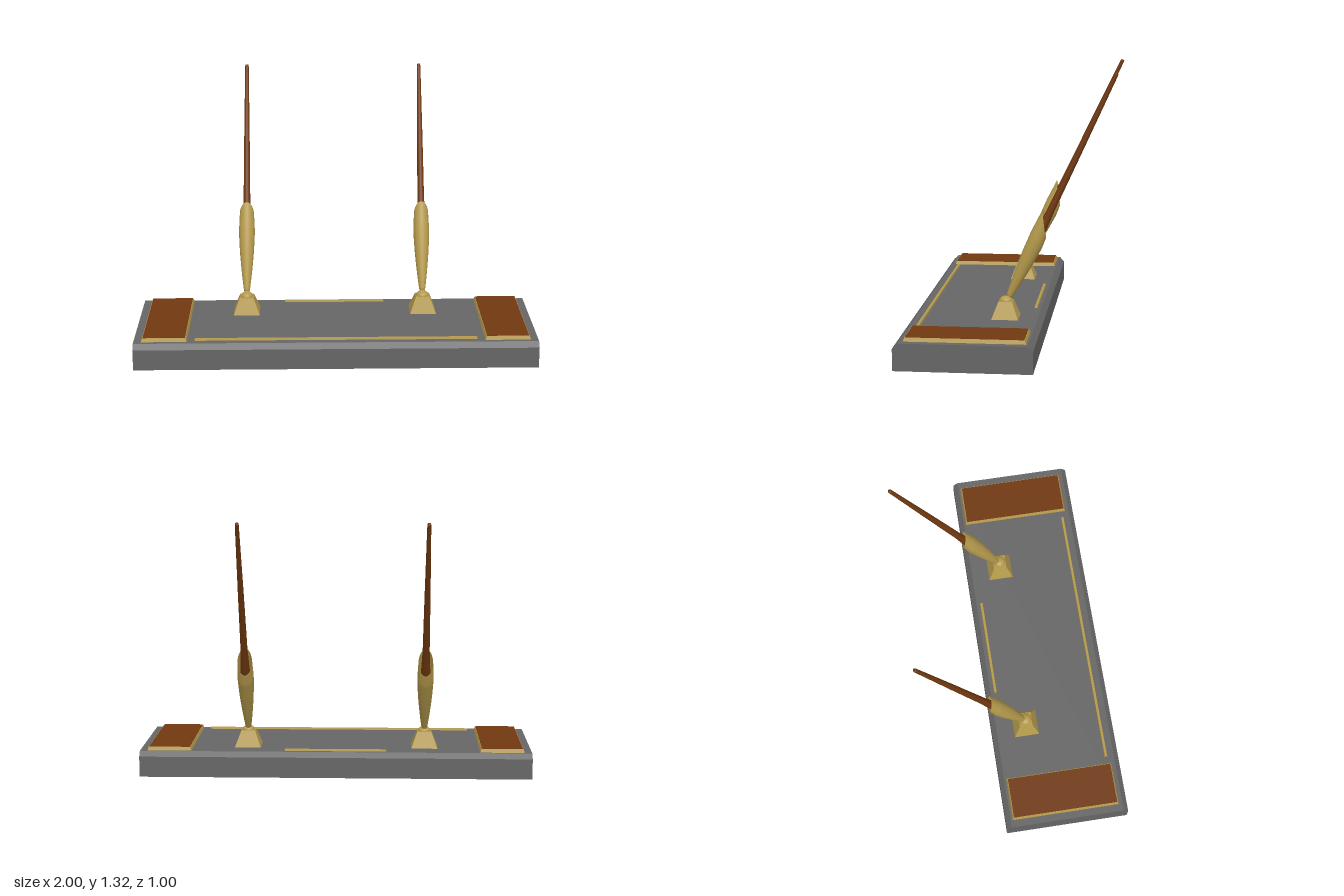
import * as THREE from 'three';

const material = (name, color) => {
  const m = new THREE.MeshStandardMaterial({ color });
  m.name = name;
  return m;
};

export function createModel() {
  const root = new THREE.Group();
  root.name = 'deskPenSet';
  const stone = material('grey stone', 0x666666);
  const brass = material('brass', 0xb59a4c);
  const wood = material('brown wood', 0x703810);

  const add = (parent, name, geometry, mat, x = 0, y = 0, z = 0) => {
    const mesh = new THREE.Mesh(geometry, mat);
    mesh.name = name;
    mesh.position.set(x, y, z);
    parent.add(mesh);
    return mesh;
  };

  // Box standing on y = 0 whose top face is inset on every side
  const frustum = (w, h, d, inset) => {
    const g = new THREE.BoxGeometry(w, h, d).translate(0, h / 2, 0);
    const p = g.attributes.position;
    for (let i = 0; i < p.count; i++) {
      if (p.getY(i) < h / 2) continue;
      p.setX(i, p.getX(i) - Math.sign(p.getX(i)) * inset);
      p.setZ(i, p.getZ(i) - Math.sign(p.getZ(i)) * inset);
    }
    g.computeVertexNormals();
    return g;
  };

  const lathe = (points, segments = 32) =>
    new THREE.LatheGeometry(points.map(([r, y]) => new THREE.Vector2(r, y)), segments);

  // Base slab: side profile (z, y) with chamfered long edges, extruded along x
  const profile = new THREE.Shape([
    [0.5, 0], [0.5, 0.105], [0.475, 0.13], [-0.12, 0.13], [-0.145, 0.105], [-0.145, 0],
  ].map(([z, y]) => new THREE.Vector2(-z, y)));
  const slab = new THREE.ExtrudeGeometry(profile, { depth: 2, bevelEnabled: false });
  slab.translate(0, 0, -1).rotateY(Math.PI / 2);
  add(root, 'base', slab, stone);

  // Inlaid brass lines
  add(root, 'frontStrip', frustum(1.4, 0.009, 0.016, 0.002), brass, 0, 0.13, 0.433);
  add(root, 'rearStrip', frustum(0.52, 0.009, 0.016, 0.002), brass, 0, 0.13, -0.093);

  // Brass funnel, its mouth cut obliquely so the front lip is taller
  const start = 0.24, end = 0.4;
  const funnelShape = () => {
    const outer = new THREE.SplineCurve([
      [0.015, 0], [0.019, 0.03], [0.027, 0.1], [0.036, 0.2], [0.041, 0.3], [0.04, 0.34], [0.037, end],
    ].map(([r, y]) => new THREE.Vector2(r, y))).getPoints(24);
    const inner = [[0.035, end], [0.036, 0.32], [0.03, 0.22], [0, 0.2]]
      .map(([r, y]) => new THREE.Vector2(r, y));
    const g = new THREE.LatheGeometry([new THREE.Vector2(0, 0), ...outer, ...inner], 40);
    const p = g.attributes.position;
    for (let i = 0; i < p.count; i++) {
      const y = p.getY(i);
      if (y <= start) continue;
      const cut = 0.399 + 1.6 * p.getZ(i);
      p.setY(i, start + (y - start) * (cut - start) / (end - start));
    }
    g.computeVertexNormals();
    return g;
  };
  const funnel = funnelShape();
  const brassShell = brass;
  brassShell.side = THREE.DoubleSide;

  for (const side of [-1, 1]) {
    const label = side > 0 ? 'left' : 'right';

    // End plate with wooden inlay
    add(root, label + 'EndPlate', frustum(0.225, 0.018, 0.565, 0.006), brass, side * 0.85, 0.13, 0.173);
    add(root, label + 'WoodInlay', new THREE.BoxGeometry(0.208, 0.004, 0.548), wood, side * 0.85, 0.148, 0.173);

    // Pyramid foot with a low dome
    const holder = new THREE.Group();
    holder.name = label + 'Holder';
    holder.position.x = side * 0.455;
    root.add(holder);
    add(holder, 'foot', frustum(0.134, 0.082, 0.13, 0.031), brass, 0, 0.13, 0.037);
    const dome = new THREE.SphereGeometry(0.033, 24, 10, 0, Math.PI * 2, 0, Math.PI / 2);
    add(holder, 'dome', dome, brass, 0, 0.211, 0.037).scale.y = 0.75;

    // Tilted funnel and pen
    const tilt = new THREE.Group();
    tilt.name = 'tiltedPen';
    tilt.position.set(0, 0.235, 0.02);
    tilt.rotation.x = -0.44;
    holder.add(tilt);
    add(tilt, 'swivelBall', new THREE.SphereGeometry(0.014, 16, 12), brass, 0, -0.008, 0);
    add(tilt, 'funnel', funnel, brassShell);
    add(tilt, 'pen', lathe([
      [0, 0.2], [0.024, 0.2], [0.025, 0.32], [0.021, 0.4], [0.0175, 0.48], [0.0145, 0.8], [0.0095, 1.19], [0.008, 1.2], [0, 1.2],
    ], 20), wood);
  }
  return root;
}
